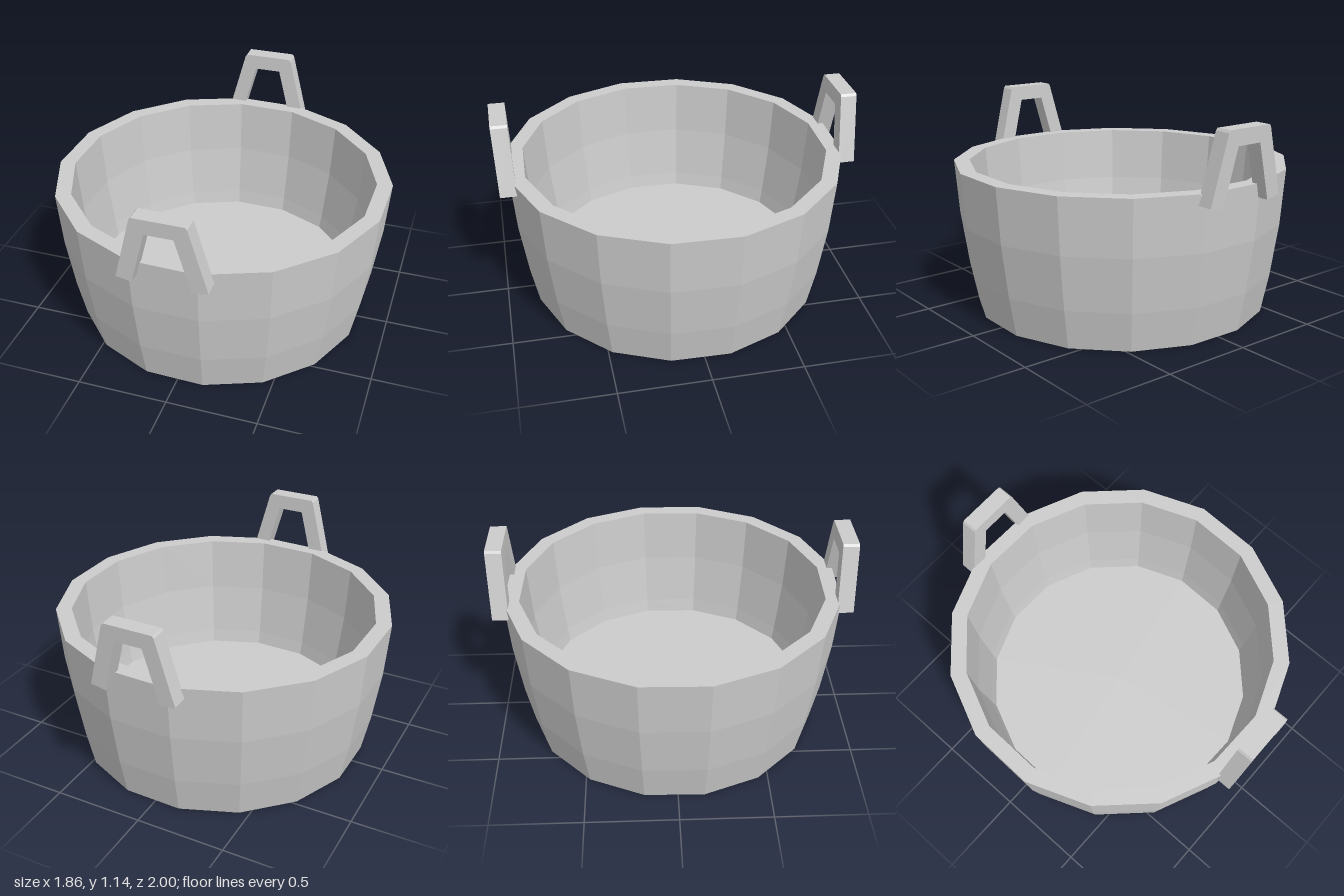
import * as THREE from 'three';

export function createModel() {
  const group = new THREE.Group();
  const grey = new THREE.MeshStandardMaterial({ color: 0xcccccc, flatShading: true });
  grey.name = 'plain grey';

  // Sixteen-sided tub: recessed underside, bulging wall, flat rim, inner wall and floor
  const profile = [
    [0, 0.045], [0.752, 0.045], [0.745, 0], [0.833, 0], [0.877, 0.22], [0.92, 0.52],
    [0.943, 0.83], [0.856, 0.83], [0.833, 0.52], [0.79, 0.22], [0.775, 0.14], [0, 0.14],
  ].map(([r, y]) => new THREE.Vector2(r, y));
  const tub = new THREE.Mesh(
    new THREE.LatheGeometry(profile, 16, THREE.MathUtils.degToRad(9.9)), grey);
  tub.name = 'tub';
  group.add(tub);

  // Handle outline: two splayed legs joined by a crossbar with clipped corners
  const half = [[0.075, 1.06], [0.156, 0.755], [0.24, 0.772], [0.145, 1.132], [0.135, 1.145]];
  const outline = [...half, ...half.map(([x, y]) => [-x, y]).reverse()];
  const shape = new THREE.Shape(outline.map(([x, y]) => new THREE.Vector2(x, y)));
  const handleGeometry = new THREE.ExtrudeGeometry(shape, { depth: 0.09, bevelEnabled: false });
  handleGeometry.translate(0, 0, 0.91);

  // Lean the handle slightly outwards towards its top
  const p = handleGeometry.attributes.position;
  for (let i = 0; i < p.count; i++) {
    p.setZ(i, p.getZ(i) - 0.04 * (1.145 - p.getY(i)));
  }
  handleGeometry.computeVertexNormals();

  for (const [name, turn] of [['frontHandle', 0], ['backHandle', Math.PI]]) {
    const handle = new THREE.Mesh(handleGeometry, grey);
    handle.name = name;
    handle.rotation.y = turn;
    group.add(handle);
  }
  return group;
}
